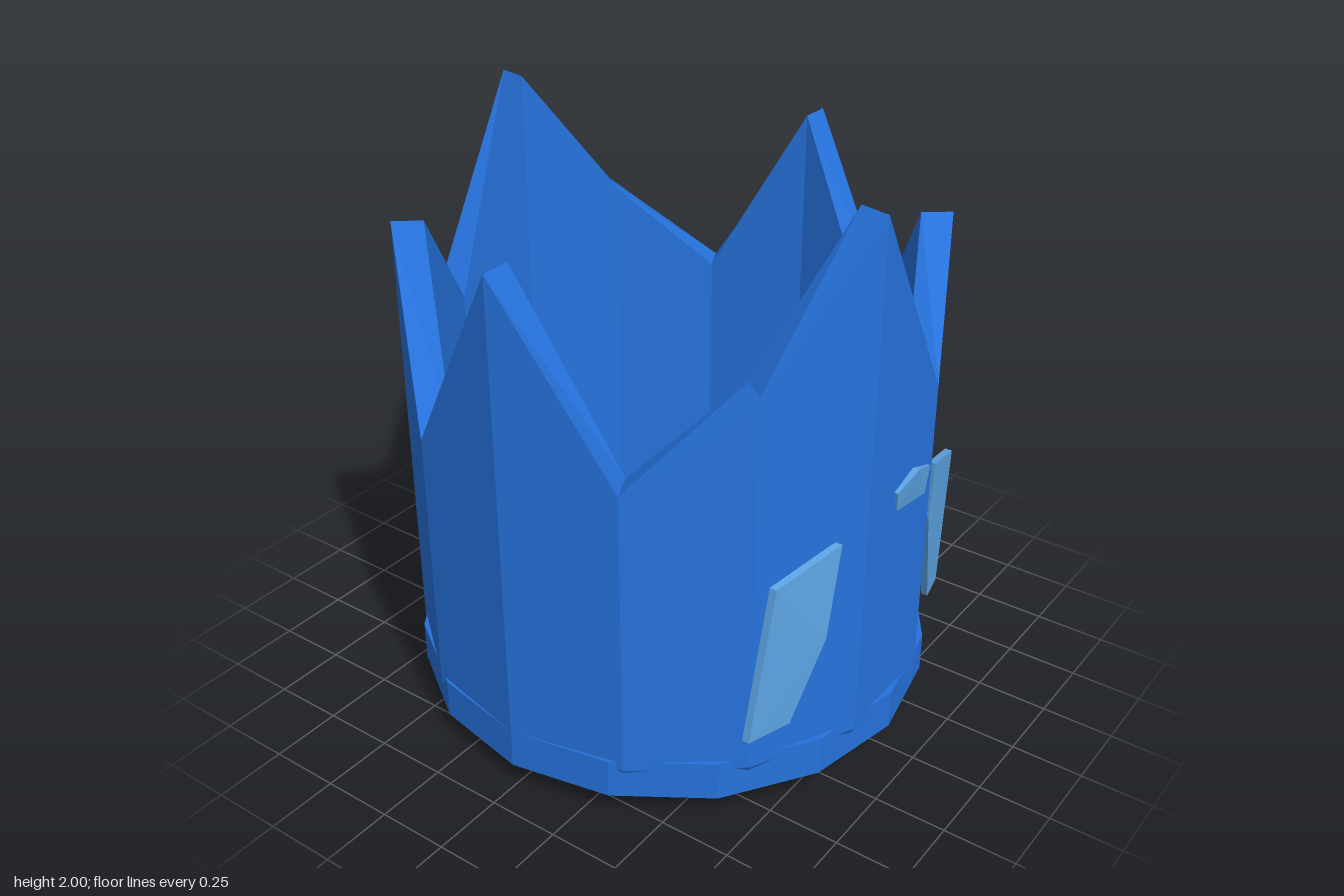
import * as THREE from 'three';
import { ConvexGeometry } from 'three/addons/geometries/ConvexGeometry.js';

const SIDES = 14;
// Rim heights around half of the crown; the other half repeats them
const RIM = [1.3, 1.725, 1.145, 1.845, 1.22, 1.53, 2.0];
const R_OUT = 0.9, R_IN = 0.795, FLOOR = 0.23;

const blue = new THREE.MeshStandardMaterial({ color: 0x2672dc, flatShading: true });
blue.name = 'crown blue';
const paleBlue = new THREE.MeshStandardMaterial({ color: 0x5da6e6, flatShading: true });
paleBlue.name = 'pale blue';

function ringPoint(i, r, y) {
  const a = ((i + 0.5) / SIDES) * Math.PI * 2;
  return [Math.sin(a) * r, y, Math.cos(a) * r];
}

// Pointed shell: a section path from the base centre, up the outside, over the rim and down to the floor
function crownGeometry() {
  const section = (i) => {
    const h = RIM[i % RIM.length];
    return [[0, 0], [0.78, 0], [R_OUT, 0.2], [R_OUT, h], [R_IN, h], [R_IN, FLOOR], [0, FLOOR]]
      .map(([r, y]) => ringPoint(i, r, y));
  };
  const pos = [];
  for (let i = 0; i < SIDES; i++) {
    const a = section(i), b = section(i + 1);
    for (let k = 0; k < a.length - 1; k++) {
      if (k > 0) pos.push(...a[k], ...b[k], ...b[k + 1]);
      if (k < a.length - 2) pos.push(...a[k], ...b[k + 1], ...a[k + 1]);
    }
  }
  const g = new THREE.BufferGeometry();
  g.setAttribute('position', new THREE.Float32BufferAttribute(pos, 3));
  g.computeVertexNormals();
  return g;
}

// Thin faceted chip made from its front outline
function chip(name, outline, depth) {
  const pts = outline.flatMap(([x, y, z]) => [
    new THREE.Vector3(x, y, z), new THREE.Vector3(x, y, z - depth),
  ]);
  const mesh = new THREE.Mesh(new ConvexGeometry(pts), paleBlue);
  mesh.name = name;
  return mesh;
}

export function createModel() {
  const model = new THREE.Group();
  model.name = 'crown';

  const shell = new THREE.Mesh(crownGeometry(), blue);
  shell.name = 'pointedShell';

  // Sixteen-sided band around the foot
  const band = new THREE.Mesh(new THREE.CylinderGeometry(0.9, 0.9, 0.14, 16), blue);
  band.name = 'baseBand';
  band.position.y = 0.16;

  model.add(shell, band);

  // Pale chips on the front
  model.add(
    chip('rightChip', [
      [-0.55, 0.905, 0.775], [-0.305, 0.965, 0.85], [-0.355, 0.64, 0.84],
      [-0.47, 0.36, 0.79], [-0.625, 0.36, 0.74],
    ], 0.025),
    chip('leftChip', [
      [0.24, 0.995, 0.872], [0.55, 0.87, 0.782], [0.51, 0.36, 0.785],
      [0.4, 0.36, 0.81], [0.25, 0.78, 0.86],
    ], 0.025),
    chip('middleChip', [
      [-0.045, 1.03, 0.89], [0.07, 1.065, 0.9], [0.17, 1.03, 0.888],
      [0.165, 0.925, 0.879], [-0.025, 0.955, 0.882],
    ], 0.03),
  );
  return model;
}
